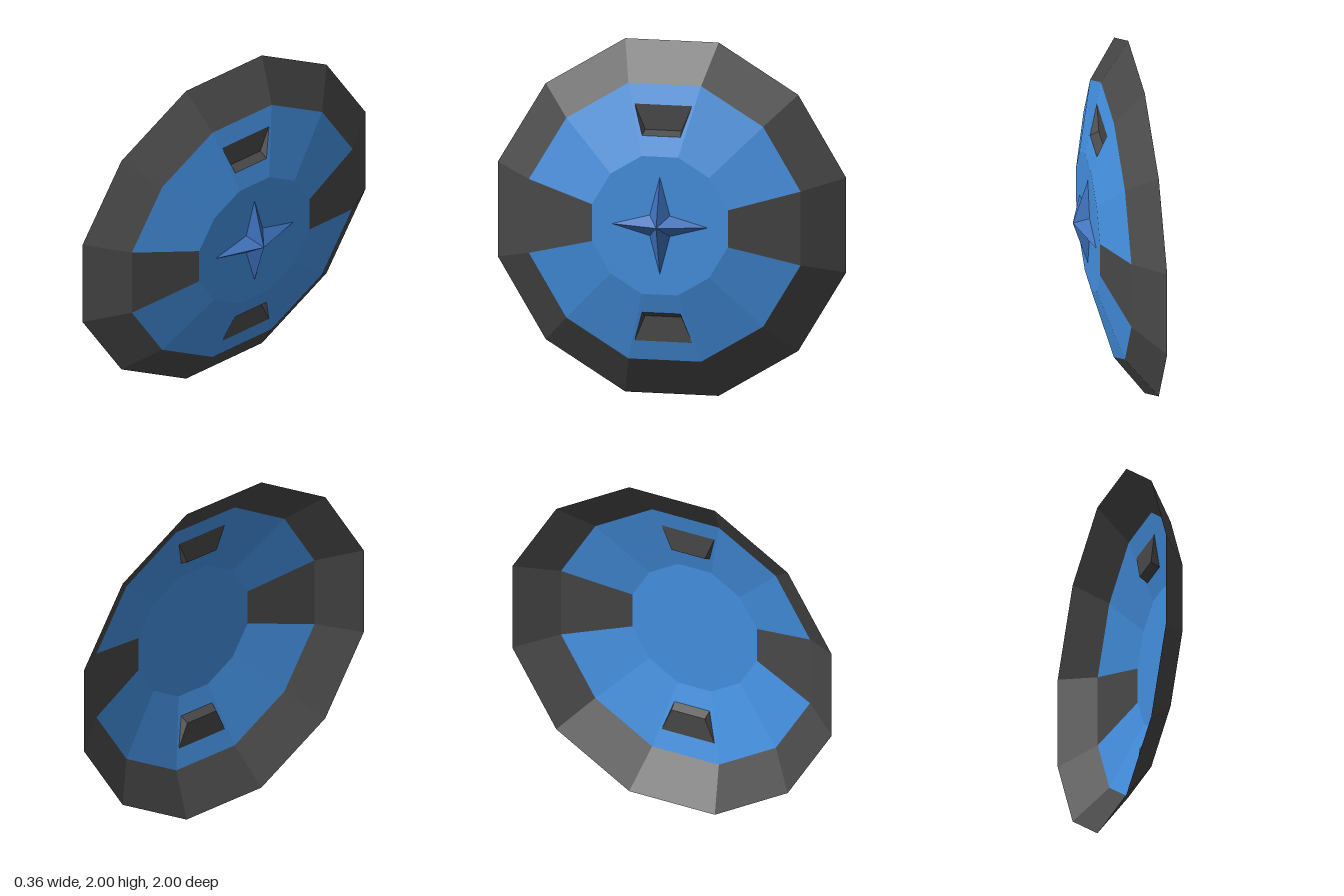
import * as THREE from 'three';

const blue = 0x4490e0, dark = 0x484848, starBlue = 0x3d70bb;

// Flat-shaded mesh from convex polygons (arrays of [x, y, z], counter-clockwise outside)
function facets(name, color, polygons) {
  const pos = [];
  for (const p of polygons)
    for (let i = 1; i < p.length - 1; i++) pos.push(...p[0], ...p[i], ...p[i + 1]);
  const geo = new THREE.BufferGeometry();
  geo.setAttribute('position', new THREE.Float32BufferAttribute(pos, 3));
  geo.computeVertexNormals();
  const mat = new THREE.MeshStandardMaterial({ color, flatShading: true, side: THREE.DoubleSide });
  const mesh = new THREE.Mesh(geo, mat);
  mesh.name = name;
  return mesh;
}

// Strips joining an outer polygon to an inner one, for the listed sides
const bridge = (outer, inner, sides) => sides.map((i) => {
  const j = (i + 1) % outer.length;
  return [outer[i], outer[j], inner[j], inner[i]];
});

export function createModel() {
  const group = new THREE.Group();
  group.name = 'shield';

  // Twelve-sided ring, the same outline scaled at each step of the profile
  const ring = (x, scale) => Array.from({ length: 12 }, (_, k) => {
    const a = THREE.MathUtils.degToRad(15 + 30 * k);
    const r = scale * (k % 3 === 1 ? 1.025 : 1.0353);
    return [x, 1 + r * Math.sin(a), r * Math.cos(a)];
  });
  const edge = ring(-0.18, 1), shoulder = ring(-0.016, 0.78), crown = ring(0.094, 0.39);
  const panel = (outer, inner, k) => {
    const n = (k + 1) % 12;
    return [outer[n], outer[k], inner[k], inner[n]];
  };

  const rim = [], bluePanels = [], sidePanels = [], slots = [];
  for (let k = 0; k < 12; k++) {
    rim.push(panel(edge, shoulder, k));
    const p = panel(shoulder, crown, k);
    if (k === 5 || k === 11) {
      sidePanels.push(p);
    } else if (k === 2 || k === 8) {
      // Top and bottom panels have a recessed slot
      const s = k === 2 ? 1 : -1;
      const at = (x, h, z) => [x, 1 + s * h, s * z];
      const hole = [at(0.015, 0.67, -0.165), at(0.015, 0.67, 0.165), at(0.063, 0.5, 0.11), at(0.063, 0.5, -0.11)];
      const floor = [hole[0], hole[1], at(0.015, 0.527, 0.104), at(0.015, 0.527, -0.104)];
      bluePanels.push(...bridge(p, hole, [0, 1, 2, 3]));
      slots.push(floor, [hole[1], hole[2], floor[2]], ...bridge(hole, floor, [2]), [hole[3], hole[0], floor[3]]);
    } else {
      bluePanels.push(p);
    }
  }
  group.add(facets('rim', dark, rim));
  group.add(facets('facePanels', blue, bluePanels));
  group.add(facets('sidePanels', dark, sidePanels));
  group.add(facets('slotRecesses', dark, slots));
  group.add(facets('centrePlate', blue, [[...crown].reverse()]));

  // Raised four-pointed star
  const tips = Array.from({ length: 8 }, (_, i) => {
    const a = -i * Math.PI / 4, r = i % 2 ? 0.082 : 0.275;
    return [0.095, 1 + r * Math.sin(a), r * Math.cos(a)];
  });
  const apex = [0.18, 1, 0];
  group.add(facets('star', starBlue, tips.map((t, i) => [t, tips[(i + 1) % 8], apex])));

  return group;
}
